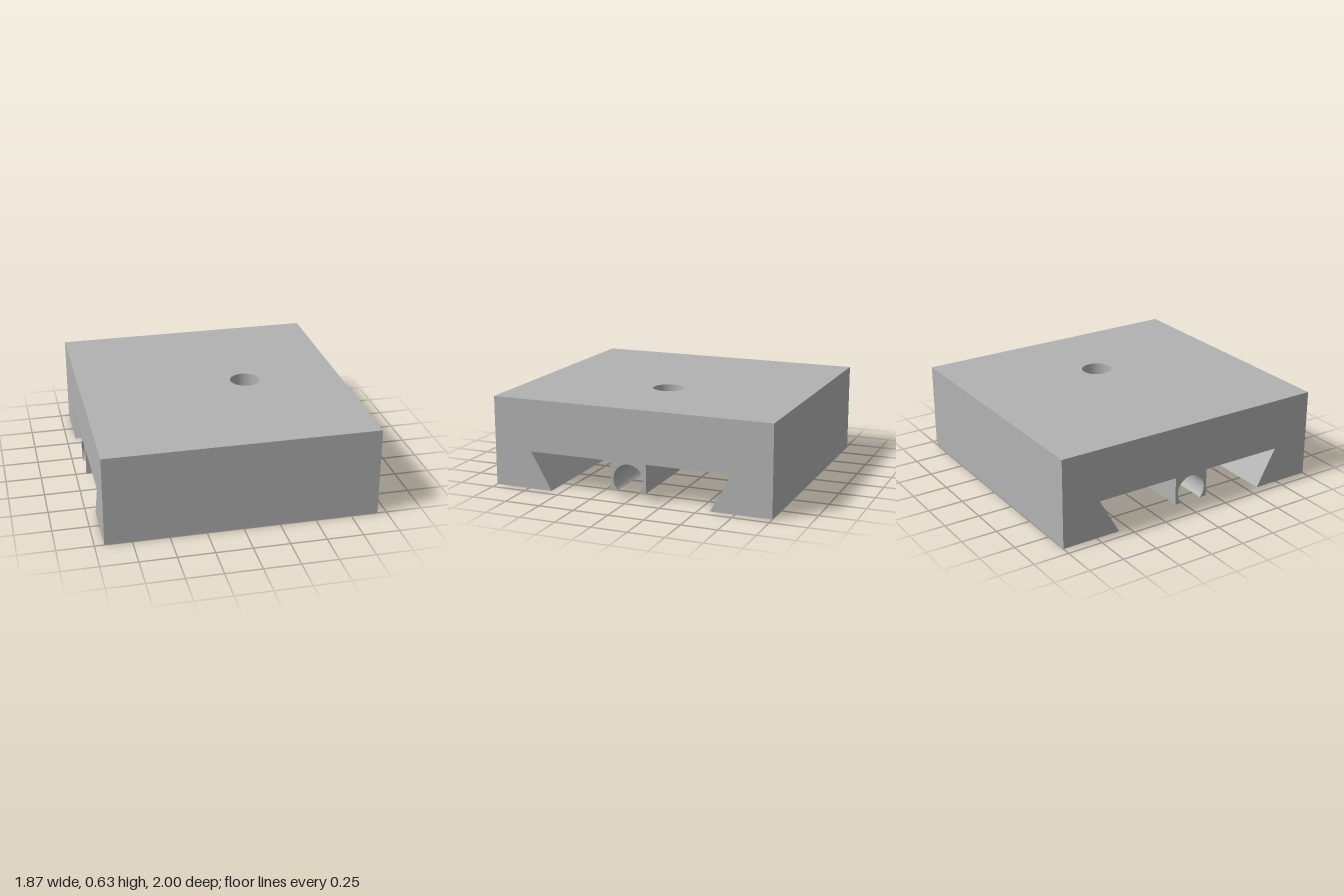
import * as THREE from 'three';
import { toCreasedNormals } from 'three/addons/utils/BufferGeometryUtils.js';

const HALF_X = 0.935, HEIGHT = 0.627;
const BORE = { y: 0.142, r: 0.108 };                      // lengthwise screw channel
const HOLE = { x: 0.25, r: 0.107, floor: 0.36 };          // blind hole in the top
const RAIL_BOTTOM = 0.065;

// Cross-section: block with a dovetail slot and a central slotted rail
function makeProfile() {
  const a = Math.asin((BORE.y - RAIL_BOTTOM) / BORE.r);
  const half = [[1, 0], [0.577, 0], [0.725, 0.263], [0.127, 0.263], [0.127, RAIL_BOTTOM]];
  const s = new THREE.Shape();
  s.moveTo(-1, HEIGHT);
  for (const [z, y] of half) s.lineTo(-z, y);
  s.absarc(0, BORE.y, BORE.r, Math.PI + a, -a, true);
  for (const [z, y] of half.reverse()) s.lineTo(z, y);
  s.lineTo(1, HEIGHT);
  s.closePath();
  return s;
}

// Remove the flat top so that the drilled top face can take its place
function dropTop(geometry) {
  const p = geometry.attributes.position, kept = [];
  for (let i = 0; i < p.count; i += 3) {
    if ([0, 1, 2].every(k => p.getY(i + k) > HEIGHT - 1e-4)) continue;
    for (let k = 0; k < 3; k++) kept.push(p.getX(i + k), p.getY(i + k), p.getZ(i + k));
  }
  const g = new THREE.BufferGeometry();
  g.setAttribute('position', new THREE.Float32BufferAttribute(kept, 3));
  g.computeVertexNormals();
  return g;
}

export function createModel() {
  const group = new THREE.Group();
  group.name = 'dovetailCarriage';
  const grey = new THREE.MeshStandardMaterial({ color: 0xb2b2b2 });
  grey.name = 'grey';
  const add = (name, geometry) => {
    const mesh = new THREE.Mesh(geometry, grey);
    mesh.name = name;
    group.add(mesh);
    return mesh;
  };

  // Body, extruded along x
  const body = new THREE.ExtrudeGeometry(makeProfile(), {
    depth: 2 * HALF_X, bevelEnabled: false, curveSegments: 40,
  });
  body.translate(0, 0, -HALF_X).rotateY(Math.PI / 2);
  add('carriageBody', toCreasedNormals(dropTop(body.index ? body.toNonIndexed() : body), 0.5));

  // Top face with the round opening
  const top = new THREE.Shape([
    new THREE.Vector2(-HALF_X, -1), new THREE.Vector2(HALF_X, -1),
    new THREE.Vector2(HALF_X, 1), new THREE.Vector2(-HALF_X, 1),
  ]);
  top.holes.push(new THREE.Path().absarc(HOLE.x, 0, HOLE.r, 0, Math.PI * 2, true));
  add('topFace', new THREE.ShapeGeometry(top, 24).rotateX(-Math.PI / 2).translate(0, HEIGHT, 0));

  // Wall and floor of the blind hole
  const wall = [[HOLE.r, HEIGHT], [HOLE.r, HOLE.floor], [0, HOLE.floor]];
  const hole = new THREE.LatheGeometry(wall.map(([r, y]) => new THREE.Vector2(r, y)), 48);
  add('blindHole', toCreasedNormals(hole, 0.5)).position.x = HOLE.x;

  return group;
}
